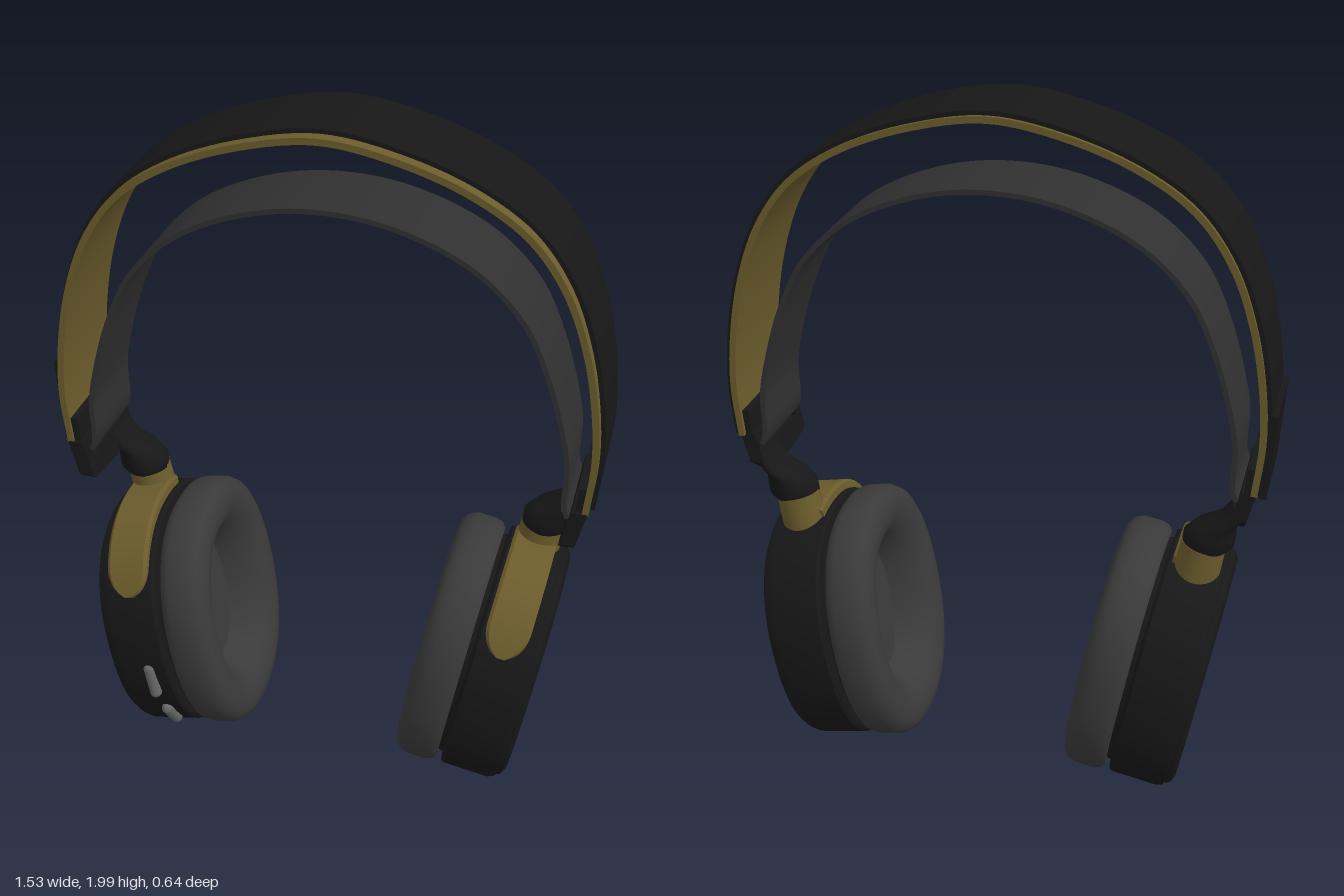
import * as THREE from 'three';
import { toCreasedNormals } from 'three/addons/utils/BufferGeometryUtils.js';

const mat = (color) => new THREE.MeshStandardMaterial({ color });
const black = mat(0x171717), gold = mat(0x6b5c2c), padGrey = mat(0x3a3a3a);
const bandGrey = mat(0x303030), buttonGrey = mat(0x666666);
const V = (x, y, z) => new THREE.Vector3(x, y, z);

function add(parent, name, geometry, material) {
  const mesh = new THREE.Mesh(geometry, material);
  mesh.name = name;
  parent.add(mesh);
  return mesh;
}

// Skin over a row of closed rings (counter-clockwise seen from the far end), capped at both ends
function loft(rings, crease = 0.6) {
  const n = rings[0].length, pos = [], index = [];
  rings.forEach((ring) => ring.forEach((p) => pos.push(p.x, p.y, p.z)));
  for (let i = 0; i < rings.length - 1; i++) {
    for (let j = 0; j < n; j++) {
      const k = (j + 1) % n, a = i * n + j, b = i * n + k;
      index.push(a, b, a + n, b, b + n, a + n);
    }
  }
  [0, rings.length - 1].forEach((r, end) => {
    const c = rings[r].reduce((s, p) => s.add(p), V(0, 0, 0)).divideScalar(n);
    const ci = pos.push(c.x, c.y, c.z) / 3 - 1;
    for (let j = 0; j < n; j++) {
      const a = r * n + j, b = r * n + (j + 1) % n;
      index.push(ci, end ? a : b, end ? b : a);
    }
  });
  const g = new THREE.BufferGeometry();
  g.setAttribute('position', new THREE.Float32BufferAttribute(pos, 3));
  g.setIndex(index);
  return toCreasedNormals(g, crease);
}

// Rounded-oval outline of the ear cups
function oval(x, a, b, t) {
  const pw = (v) => Math.sign(v) * Math.abs(v) ** (2 / 2.25);
  return V(x, a * pw(Math.cos(t)), b * pw(Math.sin(t)));
}

// Profile of [axial position, inset from the rim] swept round the oval
const ovalLoft = (profile, a, b) => loft(profile.map(([x, inset]) =>
  Array.from({ length: 72 }, (_, i) => oval(x, a - inset, b - inset, i / 72 * Math.PI * 2))));

// Strip following a mirrored arch; d0..d1 is the depth under the path
function band(half, d0, d1, z0, z1) {
  const pts = [...half.slice(1).reverse().map(([x, y]) => V(-x, y, 0)), ...half.map(([x, y]) => V(x, y, 0))];
  const curve = new THREE.CatmullRomCurve3(pts);
  const rings = [];
  for (let i = 0; i <= 96; i++) {
    const p = curve.getPointAt(i / 96), t = curve.getTangentAt(i / 96);
    const at = (d, z) => V(p.x + t.y * d, p.y - t.x * d, z);
    rings.push([at(d0, z1), at(d1, z1), at(d1, z0), at(d0, z0)]);
  }
  return loft(rings);
}

function earCup() {
  const cup = new THREE.Group();
  cup.name = 'earCup';
  cup.position.set(0.285, 0.425, 0);
  cup.rotation.z = -0.183;

  add(cup, 'cushion', ovalLoft([[0.115, 0.18], [0.08, 0.165], [0.045, 0.145], [0.02, 0.12], [0.005, 0.09],
    [0, 0.06], [0.006, 0.03], [0.02, 0.01], [0.045, 0], [0.1, 0], [0.12, 0.006], [0.132, 0.02]], 0.38, 0.318), padGrey);
  add(cup, 'cupShell', ovalLoft([[0.12, 0.035], [0.145, 0.03], [0.147, 0.008], [0.155, 0], [0.29, 0],
    [0.308, 0.006], [0.31, 0.012], [0.325, 0.018], [0.335, 0.035]], 0.373, 0.314), black);

  // Yoke: strip over the rim, rounded off at the front end
  const section = [[1, 0.5], [0.85, 1], [-0.85, 1], [-1, 0.5], [-1, -1], [1, -1]];
  const rings = [];
  for (let i = 0; i <= 36; i++) {
    const s = i / 36, e = Math.max(0, (s - 0.8) / 0.2);
    const w = 0.062 * Math.sqrt(Math.max(0.04, 1 - e * e));
    const t = -0.24 + 1.32 * s;
    rings.push(section.map(([u, v]) => oval(0.224 + u * w, 0.385 + v * 0.017, 0.312 + v * 0.012, t)));
  }
  add(cup, 'yoke', loft(rings), gold);

  const collar = add(cup, 'collar', new THREE.CylinderGeometry(0.062, 0.066, 0.14, 32), gold);
  collar.position.set(0.232, 0.375, -0.07);
  return cup;
}

function hinge() {
  const group = new THREE.Group();
  group.name = 'hinge';

  // Slotted bracket plate, leaning inwards towards the cup
  const outline = [[-0.18, 1.02], [-0.18, 0.915], [-0.165, 0.902], [-0.01, 0.89], [0.08, 0.89], [0.13, 0.93], [0.13, 1.02]];
  const slot = [[-0.14, 0.957], [0.115, 0.963], [0.115, 0.985], [-0.14, 0.985]];
  const toPoints = (list) => list.map(([x, y]) => new THREE.Vector2(x, y));
  const shape = new THREE.Shape(toPoints(outline));
  shape.holes.push(new THREE.Path(toPoints(slot)));
  const plate = new THREE.ExtrudeGeometry(shape, { depth: 0.042, bevelEnabled: false });
  plate.rotateY(Math.PI / 2);
  const p = plate.attributes.position;
  for (let i = 0; i < p.count; i++) p.setX(i, p.getX(i) + 0.685 + (p.getY(i) - 1) * 0.25);
  plate.computeVertexNormals();
  add(group, 'bracket', plate, black);

  const clip = add(group, 'bandClip', new THREE.BoxGeometry(0.032, 0.09, 0.3), black);
  clip.position.set(0.716, 1.045, 0.02);
  clip.rotation.z = -0.08;

  // Elbow: [height, centre x, half width x, half width z]
  const rings = [[0.808, 0.6, 0.062, 0.06], [0.822, 0.604, 0.072, 0.066], [0.855, 0.608, 0.072, 0.066],
    [0.882, 0.622, 0.058, 0.065], [0.905, 0.658, 0.034, 0.064], [0.95, 0.682, 0.024, 0.06], [0.958, 0.685, 0.02, 0.056]]
    .map(([y, x, rx, rz]) => Array.from({ length: 32 }, (_, i) => {
      const t = i / 32 * Math.PI * 2;
      return V(x + rx * Math.sin(t), y, -0.067 + rz * Math.cos(t));
    }));
  add(group, 'elbow', loft(rings, 0.8), black);
  return group;
}

export function createModel() {
  const model = new THREE.Group();
  model.name = 'headphones';

  // Headband and the suspended inner strap
  const outer = [[0, 2], [0.2, 1.968], [0.4, 1.895], [0.55, 1.795], [0.65, 1.66], [0.715, 1.49], [0.75, 1.31], [0.759, 1.17], [0.746, 1.015]];
  const inner = [[0, 1.79], [0.2, 1.763], [0.4, 1.675], [0.53, 1.55], [0.6, 1.41], [0.65, 1.25], [0.672, 1.14], [0.673, 1.01], [0.684, 0.985]];
  add(model, 'headbandCover', band(outer, 0, 0.016, -0.13, 0.143), black);
  add(model, 'headbandFrame', band(outer, 0.012, 0.03, -0.142, 0.178), gold);
  add(model, 'innerStrap', band(inner, 0, 0.014, -0.115, 0.15), bandGrey);

  // Left and right sides
  for (const s of [1, -1]) {
    const side = new THREE.Group();
    side.name = s > 0 ? 'leftSide' : 'rightSide';
    side.scale.x = s;
    const cup = earCup();
    side.add(cup, hinge());
    model.add(side);
    if (s > 0) continue;

    // Controls and cover plate, on the right side only
    const slider = add(cup, 'slider', new THREE.CapsuleGeometry(0.018, 0.085, 6, 16), buttonGrey);
    slider.position.set(0.208, -0.078, 0.306);
    const knob = add(cup, 'button', new THREE.CapsuleGeometry(0.018, 0.075, 6, 16), buttonGrey);
    knob.position.set(0.202, -0.237, 0.258);
    knob.rotation.x = 0.55;
    const plate = add(side, 'bandEndPlate', new THREE.BoxGeometry(0.02, 0.245, 0.268), black);
    plate.position.set(0.754, 1.128, 0.006);
    plate.rotation.z = -0.06;
  }
  return model;
}
